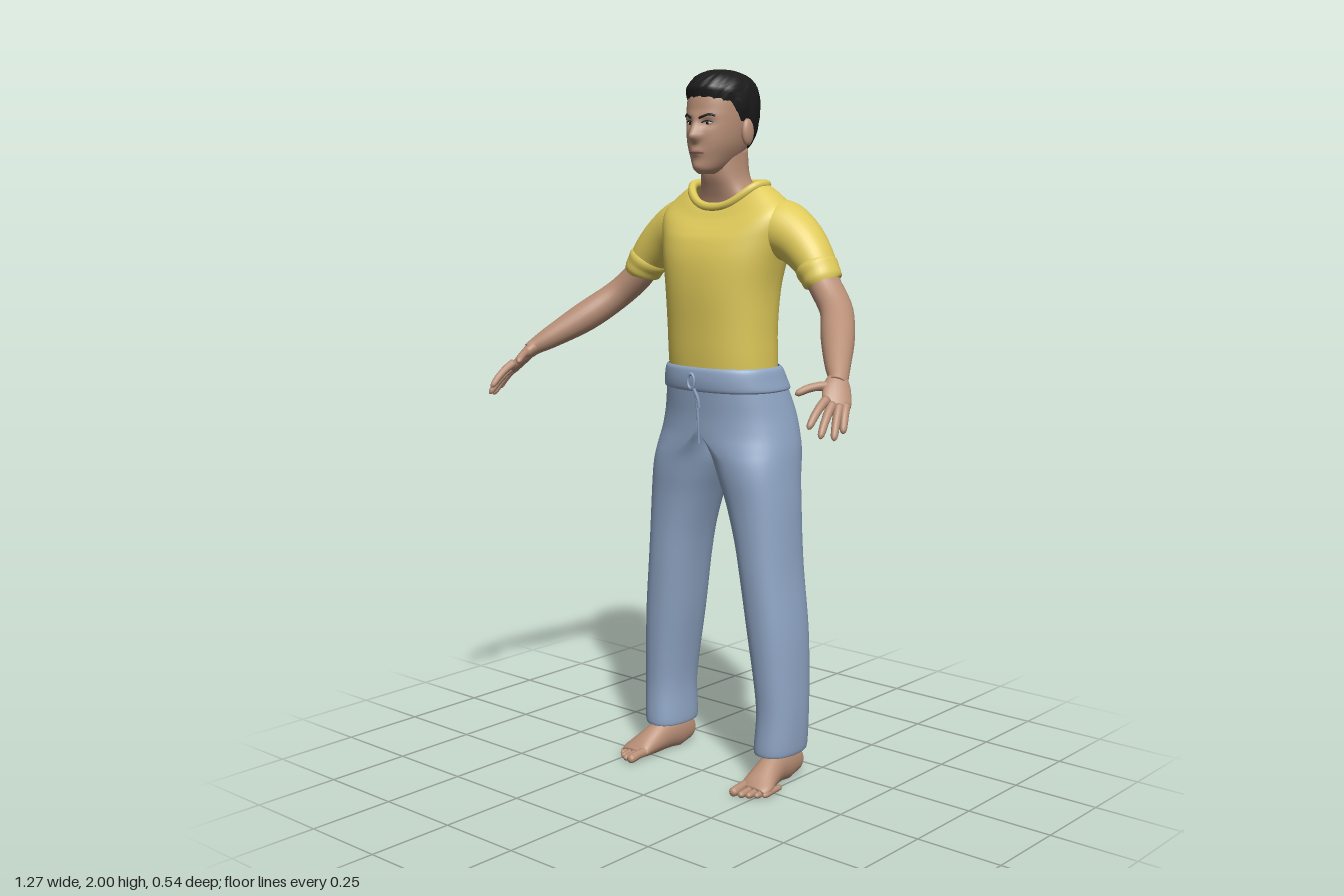
import * as THREE from 'three';

const mat = (name, color, side = THREE.FrontSide) => {
  const m = new THREE.MeshStandardMaterial({ color, side });
  m.name = name;
  return m;
};
const V = (x, y, z) => new THREE.Vector3(x, y, z);
const pw = (v, p = 0.86) => Math.sign(v) * Math.pow(Math.abs(v), p);

// Smooth interpolation through rows of equal length, t from 0 to 1
function sample(rows, t) {
  const f = t * (rows.length - 1), i = Math.min(Math.floor(f), rows.length - 2), u = f - i;
  const [a, b, c, d] = [-1, 0, 1, 2].map(k => rows[Math.min(Math.max(i + k, 0), rows.length - 1)]);
  return b.map((_, k) => b[k] + 0.5 * u * (c[k] - a[k]
    + u * (2 * a[k] - 5 * b[k] + 4 * c[k] - d[k] + u * (3 * (b[k] - c[k]) + d[k] - a[k]))));
}
const spline = (rows, n) => Array.from({ length: n + 1 }, (_, i) => sample(rows, i / n));
const ring = (seg, fn) => Array.from({ length: seg }, (_, j) => fn(j / seg * Math.PI * 2));

// Skin over a list of closed rings
function loft(rings, capStart = true, capEnd = true) {
  const n = rings[0].length, pts = rings.flat(), idx = [];
  for (let i = 0; i < rings.length - 1; i++) for (let j = 0; j < n; j++) {
    const a = i * n + j, b = i * n + (j + 1) % n;
    idx.push(a, a + n, b, b, a + n, b + n);
  }
  const cap = (r, base, flip) => {
    pts.push(r.reduce((s, p) => s.add(p), V(0, 0, 0)).divideScalar(n));
    for (let j = 0; j < n; j++) {
      const a = base + j, b = base + (j + 1) % n;
      idx.push(pts.length - 1, flip ? b : a, flip ? a : b);
    }
  };
  if (capStart) cap(rings[0], 0, false);
  if (capEnd) cap(rings[rings.length - 1], (rings.length - 1) * n, true);
  const g = new THREE.BufferGeometry().setFromPoints(pts);
  g.setIndex(idx);
  g.computeVertexNormals();
  return g;
}

// Tube with changing oval section; rows are [x, y, z, radius along ref, other radius]
function limb(rows, { n = 16, seg = 20, ref = V(0, 0, 1), capStart = true, capEnd = true } = {}) {
  const s = spline(rows, n), at = i => V(...s[Math.min(Math.max(i, 0), n)].slice(0, 3));
  return loft(s.map((r, i) => {
    const t = at(i + 1).sub(at(i - 1)).normalize();
    const u = ref.clone().addScaledVector(t, -ref.dot(t)).normalize();
    const v = u.clone().cross(t);
    return ring(seg, a => at(i).addScaledVector(u, r[3] * Math.cos(a)).addScaledVector(v, r[4] * Math.sin(a)));
  }), capStart, capEnd);
}

// Level oval ring; row is [y, half width, front z, back z, drop at front]
const bodyRing = ([y, w, zf, zb, drop = 0], seg = 56) => ring(seg, a => V(
  w * pw(Math.cos(a)), y - drop * Math.max(0, Math.sin(a)) ** 2, (zf + zb) / 2 + (zf - zb) / 2 * pw(Math.sin(a))));

// Head surface: oval sections with sculpted nose, brow, sockets, lips and chin
const HEAD = [[1.718, 0.016, 0.005, -0.05], [1.732, 0.036, 0.019, -0.09], [1.765, 0.057, 0.024, -0.145],
  [1.80, 0.072, 0.027, -0.165], [1.84, 0.08, 0.027, -0.18], [1.88, 0.083, 0.025, -0.189],
  [1.92, 0.083, 0.02, -0.19], [1.95, 0.077, 0.009, -0.182], [1.974, 0.058, -0.014, -0.155],
  [1.987, 0.03, -0.046, -0.115], [1.99, 0.004, -0.075, -0.085]];
const bump = (v, c, w) => Math.exp(-(((v - c) / w) ** 2));
function headPoint(a, t) {
  const [y, w, zf, zb] = sample(HEAD, t), x = w * pw(Math.cos(a), 0.92);
  let z = (zf + zb) / 2 + (zf - zb) / 2 * pw(Math.sin(a), 0.92);
  if (Math.sin(a) > 0) {
    const ridge = y > 1.818 ? Math.max(0, 1 - (y - 1.818) / 0.06) : Math.max(0, 1 - (1.818 - y) / 0.02);
    z += 0.027 * ridge * bump(x, 0, 0.008 + 0.008 * ridge)
      - 0.009 * bump(Math.abs(x), 0.032, 0.016) * bump(y, 1.855, 0.012)
      + 0.004 * bump(y, 1.876, 0.01) * bump(x, 0, 0.05)
      + 0.007 * bump(y, 1.778, 0.011) * bump(x, 0, 0.02)
      + 0.004 * bump(y, 1.738, 0.012) * bump(x, 0, 0.02);
  }
  return V(x, y, z);
}
function headT(y) {
  let lo = 0, hi = 1;
  for (let i = 0; i < 30; i++) { const m = (lo + hi) / 2; if (sample(HEAD, m)[0] < y) lo = m; else hi = m; }
  return lo;
}
function face(x, y, out = 0) {
  const t = headT(y), c = Math.min(1, Math.abs(x) / sample(HEAD, t)[1]) ** (1 / 0.92);
  const p = headPoint(Math.acos(Math.sign(x) * c), t);
  p.z += out;
  return p;
}

// Hairline height for the sine of the angle round the head (1 = front)
const HAIRLINE = [[-1, 1.768], [-0.6, 1.772], [-0.35, 1.79], [-0.1, 1.862], [0.08, 1.842], [0.25, 1.88], [0.5, 1.905], [1, 1.92]];
function hairline(s) {
  const i = Math.max(1, HAIRLINE.findIndex(h => h[0] >= s - 1e-9));
  const [a, b] = [HAIRLINE[i - 1], HAIRLINE[i]];
  return a[1] + (b[1] - a[1]) * (s - a[0]) / (b[0] - a[0]);
}

export function createModel() {
  const model = new THREE.Group();
  model.name = 'standingMan';
  const skin = mat('skin', 0xb88f77), shirt = mat('yellowShirt', 0xdfca5a, THREE.DoubleSide);
  const denim = mat('bluePants', 0x8fa5c4, THREE.DoubleSide), black = mat('blackHair', 0x1b1b1b);
  const white = mat('eyeWhite', 0xd8d0c8), lip = mat('lips', 0x94655a);

  const add = (name, g, m) => {
    const mesh = new THREE.Mesh(g, m);
    mesh.name = name;
    model.add(mesh);
  };
  const pair = (name, g, m) => {
    add(name + 'Left', g, m);
    const r = g.clone().scale(-1, 1, 1), ix = Array.from(r.index.array);
    for (let i = 0; i < ix.length; i += 3) [ix[i], ix[i + 1]] = [ix[i + 1], ix[i]];
    r.setIndex(ix);
    add(name + 'Right', r, m);
  };
  const ball = (p, sx, sy, sz) => new THREE.SphereGeometry(1, 20, 14).scale(sx, sy, sz).translate(p.x, p.y, p.z);
  const tube = (pts, r, closed = false) =>
    new THREE.TubeGeometry(new THREE.CatmullRomCurve3(pts, closed), closed ? 64 : 16, r, 8, closed);

  // Head and neck
  add('head', loft(Array.from({ length: 61 }, (_, i) => ring(88, a => headPoint(a, i / 60)))), skin);
  add('neck', loft(spline([[1.58, 0.13, -0.06, -0.19], [1.64, 0.105, -0.056, -0.185], [1.68, 0.078, -0.045, -0.178],
    [1.72, 0.063, -0.033, -0.166], [1.79, 0.06, -0.03, -0.16]], 14).map(r => bodyRing(r))), skin);
  pair('ear', ball(V(0.086, 1.832, -0.092), 0.013, 0.037, 0.022), skin);

  // Hair shell with a slightly ragged surface
  add('hair', loft(Array.from({ length: 31 }, (_, i) => ring(88, a => {
    const t0 = headT(hairline(Math.sin(a))), k = i / 30;
    const p = headPoint(a, t0 + (1 - t0) * k), out = p.clone().sub(V(0, 1.87, -0.082)).normalize();
    const rough = 0.0022 * Math.sin(a * 31 + i * 2.3) * Math.sin(i * 1.7 + a * 13) * (1 - k * k);
    const cover = Math.min(1, k * 5);
    p.addScaledVector(out, -0.004 + 0.016 * cover + rough);
    p.x *= 1 - 0.03 * cover;
    return p;
  }))), black);

  // Face details
  pair('eyeball', ball(face(0.032, 1.856, -0.001), 0.0125, 0.0055, 0.004), white);
  pair('iris', ball(face(0.031, 1.856, 0.001), 0.0052, 0.0052, 0.003), black);
  pair('upperLid', tube([0.018, 0.026, 0.034, 0.046].map((x, i) => face(x, [1.857, 1.861, 1.862, 1.858][i], 0.002)), 0.0018), black);
  pair('eyebrow', tube([0.013, 0.026, 0.04, 0.053].map((x, i) => face(x, [1.869, 1.874, 1.879, 1.875][i])), 0.0032), black);
  add('mouth', tube([-0.024, -0.012, 0, 0.012, 0.024].map((x, i) => face(x, i % 4 ? 1.778 : 1.777, -0.001)), 0.0038), lip);

  // Shirt: trunk, collar, sleeves and cuffs
  add('shirtTrunk', loft(spline([[1.155, 0.164, 0.026, -0.212, 0], [1.22, 0.165, 0.032, -0.212, 0], [1.3, 0.166, 0.036, -0.211, 0],
    [1.4, 0.172, 0.041, -0.22, 0], [1.48, 0.188, 0.036, -0.23, 0], [1.54, 0.205, 0.02, -0.235, 0.005], [1.59, 0.216, 0.004, -0.231, 0.03],
    [1.625, 0.208, -0.008, -0.222, 0.05], [1.655, 0.175, -0.024, -0.21, 0.06], [1.678, 0.142, -0.035, -0.199, 0.065],
    [1.692, 0.118, -0.045, -0.188, 0.065]], 44).map(r => bodyRing(r)), false, false), shirt);
  add('collar', tube(bodyRing([1.69, 0.117, -0.044, -0.188, 0.063], 28), 0.0125, true), shirt);
  pair('sleeve', limb([[0.13, 1.575, -0.135, 0.09, 0.075], [0.18, 1.566, -0.135, 0.087, 0.082], [0.24, 1.537, -0.13, 0.074, 0.07],
    [0.295, 1.488, -0.121, 0.062, 0.058], [0.33, 1.437, -0.115, 0.054, 0.047]], { seg: 32, n: 20, capEnd: false }), shirt);
  pair('sleeveCuff', limb([[0.306, 1.474, -0.119, 0.054, 0.05], [0.309, 1.469, -0.118, 0.063, 0.057], [0.321, 1.452, -0.117, 0.061, 0.054],
    [0.332, 1.434, -0.115, 0.059, 0.051], [0.334, 1.430, -0.115, 0.05, 0.044]], { seg: 32, capStart: false }), shirt);

  // Arms, palms, fingers and thumbs
  pair('arm', limb([[0.30, 1.48, -0.118, 0.05, 0.043], [0.345, 1.42, -0.11, 0.049, 0.042], [0.405, 1.36, -0.08, 0.047, 0.042],
    [0.465, 1.297, -0.005, 0.045, 0.044], [0.525, 1.24, 0.075, 0.034, 0.033], [0.555, 1.213, 0.112, 0.027, 0.024],
    [0.565, 1.2, 0.128, 0.026, 0.02]], { n: 24, seg: 24 }), skin);
  pair('palm', limb([[0.553, 1.216, 0.108, 0.022, 0.02], [0.565, 1.197, 0.13, 0.034, 0.019], [0.58, 1.17, 0.152, 0.039, 0.016],
    [0.592, 1.148, 0.168, 0.035, 0.012], [0.596, 1.141, 0.173, 0.022, 0.007]], { ref: V(-0.65, 0.25, 0.7) }), skin);
  const fingers = [
    ['indexFinger', [0.573, 1.167, 0.186], [0.58, 1.103, 0.268]], ['middleFinger', [0.585, 1.155, 0.178], [0.605, 1.08, 0.253]],
    ['ringFinger', [0.596, 1.15, 0.164], [0.624, 1.073, 0.222]], ['littleFinger', [0.604, 1.15, 0.147], [0.63, 1.088, 0.192]],
    ['thumb', [0.553, 1.195, 0.148], [0.508, 1.178, 0.228]]];
  for (const [name, a, b] of fingers) {
    const at = (k, r) => [...a.map((v, i) => v + (b[i] - v) * k + (i === 1 ? 0.008 * Math.sin(k * Math.PI) : 0)), r, r];
    pair(name, limb([at(0, 0.013), at(0.33, 0.0115), at(0.66, 0.0105), at(0.92, 0.0085), at(1, 0.002)], { n: 12, seg: 12, ref: V(1, 0, 0) }), skin);
  }

  // Pants: each half runs from the cuff, merging at the crotch into half of the hips
  // rows are [y, inner x, outer x, front z, back z, share of hip shape]
  const legRows = [[0.085, 0.153, 0.263, -0.02, -0.185, 0], [0.1, 0.148, 0.271, -0.014, -0.192, 0], [0.2, 0.152, 0.275, -0.02, -0.192, 0],
    [0.3, 0.142, 0.273, -0.016, -0.198, 0], [0.44, 0.12, 0.267, -0.008, -0.204, 0], [0.6, 0.097, 0.25, 0, -0.205, 0],
    [0.7, 0.077, 0.243, 0.003, -0.207, 0], [0.8, 0.047, 0.237, 0.008, -0.215, 0], [0.87, 0.02, 0.23, 0.015, -0.227, 0],
    [0.92, 0.003, 0.225, 0.018, -0.244, 0.12], [0.96, 0, 0.22, 0.02, -0.262, 0.5], [1.0, 0, 0.212, 0.021, -0.272, 0.88],
    [1.05, 0, 0.2, 0.022, -0.271, 1], [1.1, 0, 0.188, 0.026, -0.256, 1], [1.15, 0, 0.175, 0.03, -0.236, 1]];
  const half = loft(spline(legRows, 60).map(([y, xi, xo, zf, zb, d]) => ring(48, a => {
    const k = Math.min(1, Math.max(0, d)), inner = Math.max(0, xi), c = pw(Math.cos(a));
    const legX = (inner + xo) / 2 + (xo - inner) / 2 * c, hipX = xo * Math.max(0, c);
    return V(legX + (hipX - legX) * k, y, (zf + zb) / 2 + (zf - zb) / 2 * pw(Math.sin(a)));
  })), false, false);
  // Level the normals on the centre line so the halves shade as one
  const pos = half.attributes.position, nor = half.attributes.normal;
  for (let i = 0; i < pos.count; i++) if (pos.getX(i) < 0.002 && pos.getY(i) > 0.95 && Math.abs(nor.getZ(i)) > 0.2) {
    const n = V(0, nor.getY(i), nor.getZ(i)).normalize();
    nor.setXYZ(i, n.x, n.y, n.z);
  }
  pair('pantsLeg', half, denim);
  add('waistband', loft(spline([[1.118, 0.182, 0.026, -0.247], [1.124, 0.189, 0.034, -0.253], [1.15, 0.183, 0.038, -0.243],
    [1.178, 0.176, 0.036, -0.229], [1.187, 0.168, 0.03, -0.218]], 16).map(r => bodyRing(r)), false, false), denim);
  add('drawstringLoop', new THREE.TorusGeometry(0.015, 0.004, 8, 20).scale(0.8, 1.4, 1).translate(-0.006, 1.148, 0.04), denim);
  add('drawstringEnd', tube([V(0.002, 1.128, 0.038), V(0.012, 1.1, 0.032), V(0.014, 1.075, 0.029)], 0.005), denim);
  add('flySeam', tube([V(0, 1.12, 0.028), V(0.004, 1.05, 0.022), V(0.002, 0.97, 0.016)], 0.004), denim);

  // Bare feet with flat soles
  const foot = limb([[0.208, 0.03, -0.183, 0.012, 0.012], [0.208, 0.036, -0.172, 0.034, 0.03], [0.209, 0.05, -0.13, 0.058, 0.036],
    [0.213, 0.046, -0.07, 0.05, 0.036], [0.222, 0.03, -0.01, 0.036, 0.043], [0.23, 0.018, 0.03, 0.022, 0.049],
    [0.231, 0.012, 0.05, 0.012, 0.04]], { n: 24, seg: 24, ref: V(0, 1, 0) });
  const fp = foot.attributes.position;
  for (let i = 0; i < fp.count; i++) fp.setY(i, Math.max(0, fp.getY(i)));
  foot.computeVertexNormals();
  pair('foot', foot, skin);
  pair('ankle', limb([[0.21, 0.04, -0.12, 0.045, 0.034], [0.21, 0.09, -0.118, 0.043, 0.034], [0.211, 0.16, -0.11, 0.04, 0.036]]), skin);
  [[0.197, 0.103, 0.0135], [0.221, 0.097, 0.010], [0.24, 0.086, 0.0095], [0.257, 0.071, 0.009], [0.272, 0.053, 0.0085]].forEach(([x, z, r], i) =>
    pair('toe' + (i + 1), limb([[x - 0.002, r * 1.4, z - 0.075, r, r], [x, r * 1.3, z - 0.045, r, r * 0.9], [x, r, z - 0.014, r, r],
      [x, r, z - 0.004, r * 0.75, r * 0.75], [x, r, z, 0.002, 0.002]], { n: 12, seg: 12, ref: V(0, 1, 0) }), skin));

  return model;
}
